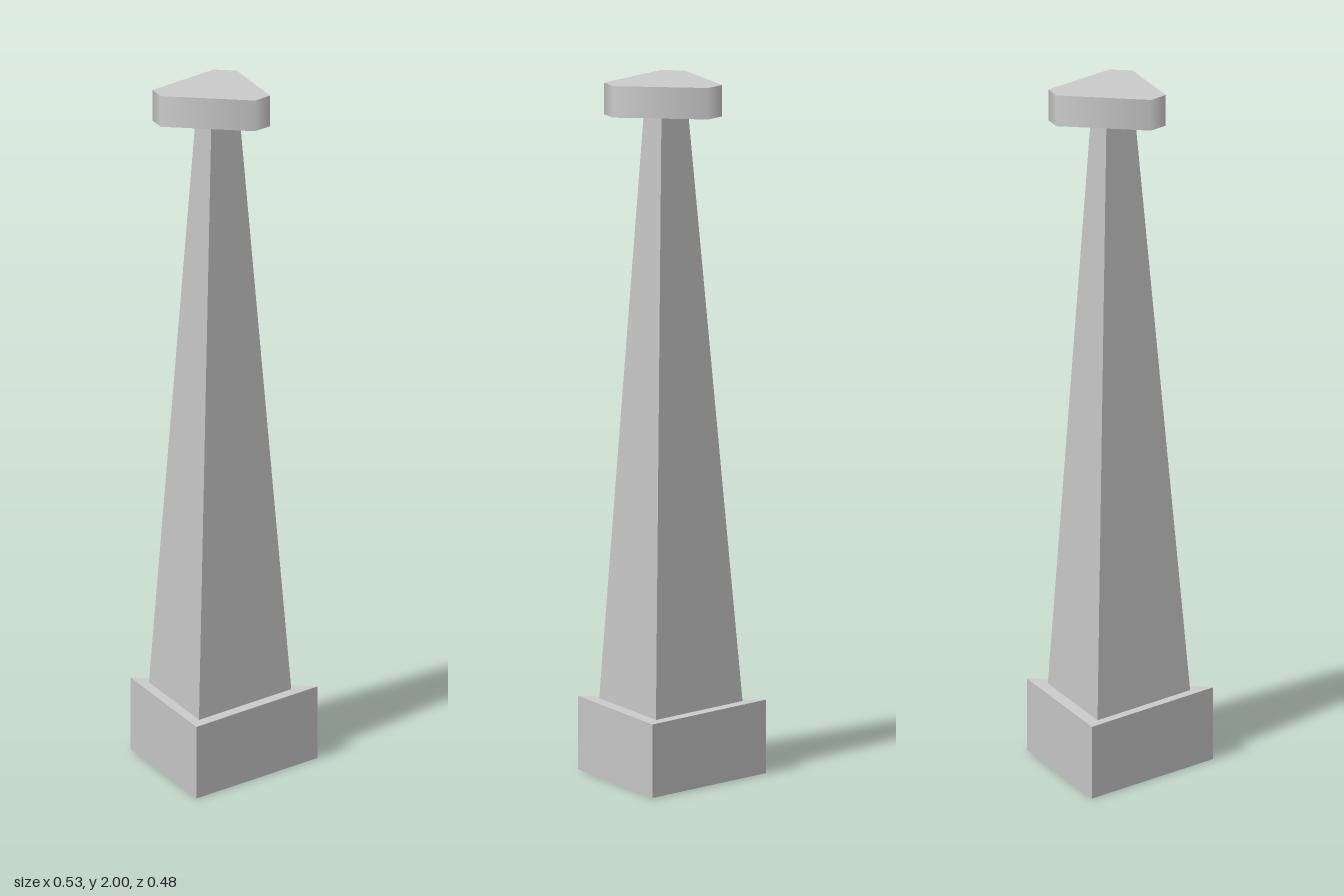
import * as THREE from 'three';

const AXIS_Z = 0.066; // shared vertical axis of the three stacked parts

export function createModel() {
  const group = new THREE.Group();
  const add = (name, geometry, options = {}) => {
    const material = new THREE.MeshStandardMaterial({ color: 0xcccccc, ...options });
    const mesh = new THREE.Mesh(geometry, material);
    mesh.name = name;
    group.add(mesh);
    return mesh;
  };
  const hollow = { flatShading: true, side: THREE.DoubleSide };

  // Triangular plinth: three thin walls, open underneath, closed on top
  const R = 0.308, H = 0.21;
  add('plinthWalls', new THREE.CylinderGeometry(R, R, H, 3, 1, true, Math.PI / 3), hollow)
    .position.set(0, H / 2, AXIS_Z);
  add('plinthTop', new THREE.CircleGeometry(R, 3, Math.PI / 2).rotateX(-Math.PI / 2), hollow)
    .position.set(0, H, AXIS_Z);

  // Tapered three-sided shaft, its foot slightly off the axis
  const shaftHeight = 1.7;
  const shaft = new THREE.CylinderGeometry(0.072, 0.235, shaftHeight, 3, 1, false, Math.PI / 3);
  const sp = shaft.attributes.position;
  for (let i = 0; i < sp.count; i++) {
    const foot = sp.getY(i) < 0;
    sp.setX(i, sp.getX(i) - (foot ? 0.004 : 0));
    sp.setZ(i, sp.getZ(i) + (foot ? 0.063 : 0.069));
  }
  add('shaft', shaft, { flatShading: true }).position.y = H + shaftHeight / 2;

  // Cap: triangle with cut corners pointing forward, smooth-shaded sides.
  // Each pair of hexagon corners is drawn together around its tip direction.
  const cap = new THREE.CylinderGeometry(0.178, 0.178, 0.09, 6, 1, false, Math.PI / 6);
  const cp = cap.attributes.position;
  const third = (Math.PI * 2) / 3, squeeze = 10.7 / 30;
  for (let i = 0; i < cp.count; i++) {
    const x = cp.getX(i), z = cp.getZ(i), r = Math.hypot(x, z);
    if (r < 0.01) continue;
    const a = Math.atan2(x, z);
    const tip = Math.round(a / third) * third;
    const b = tip + (a - tip) * squeeze;
    cp.setX(i, r * Math.sin(b));
    cp.setZ(i, r * Math.cos(b));
  }
  add('cap', cap).position.set(0, 1.955, AXIS_Z);

  return group;
}
